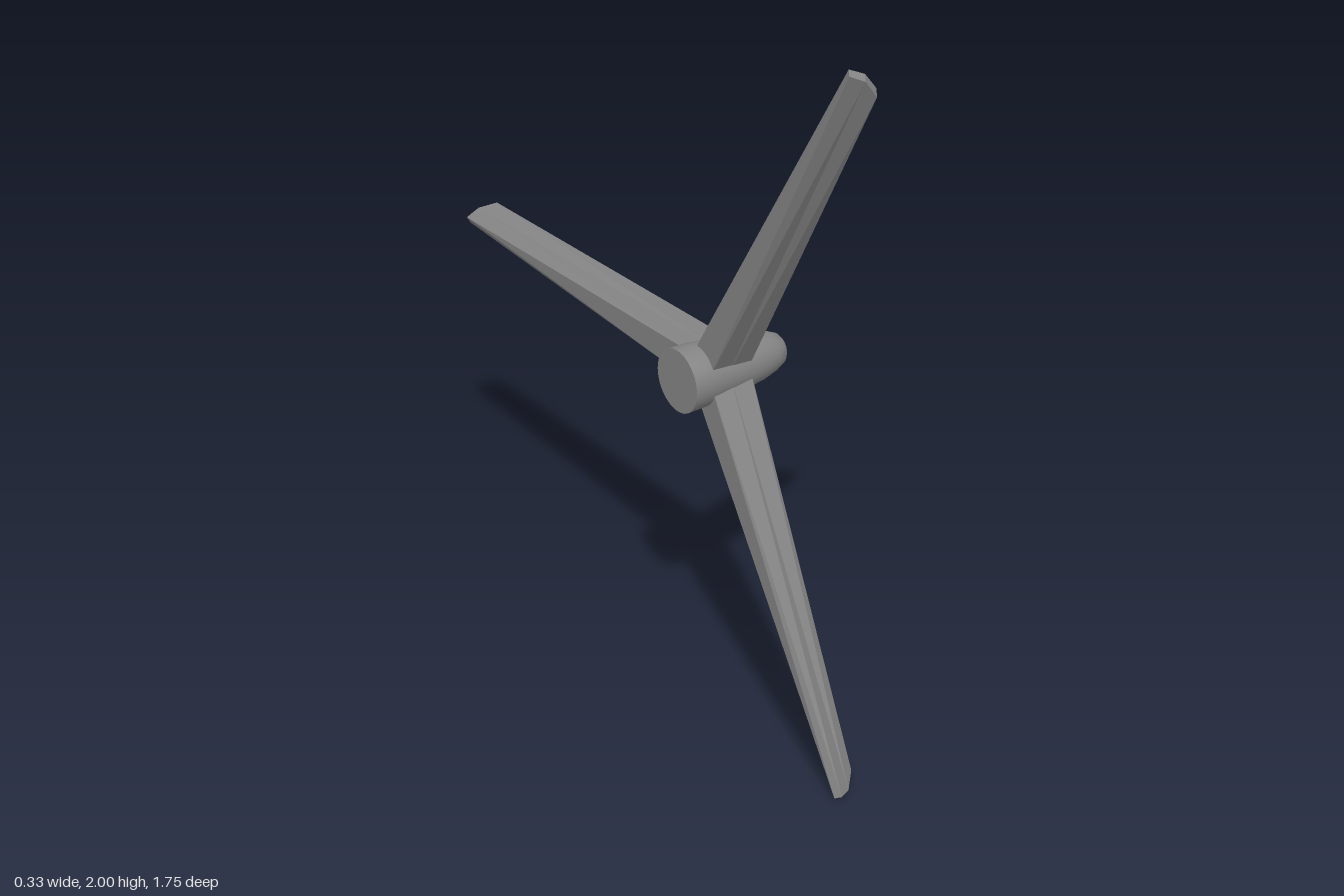
import * as THREE from 'three';
import { toCreasedNormals } from 'three/addons/utils/BufferGeometryUtils.js';

const { lerp } = THREE.MathUtils;
const BLADE_LENGTH = 1.147;
const TWIST = 0.52;

// Tapered blade, ruled straight from an upright root to a twisted tip:
// y is the radius, x the rotor axis, z the direction of turn
function bladeGeometry() {
  const geometry = new THREE.BoxGeometry(2, 1, 2, 2, 1, 1);
  const p = geometry.attributes.position;
  const c = Math.cos(TWIST), s = Math.sin(TWIST);
  for (let i = 0; i < p.count; i++) {
    const u = p.getX(i), v = p.getZ(i), f = p.getY(i) + 0.5;
    const chord = u * 0.042;
    // the trailing edge is a little thinner than the leading edge
    const thick = v * (0.0125 + u * 0.0015);
    // the tip is cut back towards the leading edge
    const cut = u > 0.5 ? 0.047 : u > -0.5 ? 0.006 : 0;
    p.setXYZ(
      i,
      lerp(-0.04 + u * 0.064, -0.044 + chord * c - thick * s, f),
      f * (BLADE_LENGTH - cut),
      lerp(v * 0.042, chord * s + thick * c, f)
    );
  }
  const flat = geometry.toNonIndexed();
  flat.computeVertexNormals();
  return flat;
}

// Hub turned around the rotor axis, with a flat back and a blunt nose
function hubGeometry() {
  const profile = [
    [0, -0.163], [0.087, -0.163], [0.085, -0.1], [0.075, 0.02], [0.067, 0.08],
    [0.055, 0.125], [0.043, 0.152], [0.034, 0.16], [0, 0.163],
  ].map(([r, y]) => new THREE.Vector2(r, y));
  const geometry = new THREE.LatheGeometry(profile, 32);
  geometry.rotateZ(-Math.PI / 2);
  return toCreasedNormals(geometry, 0.7);
}

export function createModel() {
  const model = new THREE.Group();
  model.name = 'turbineRotor';
  const smooth = new THREE.MeshStandardMaterial({ color: 0x848484 });
  const faceted = new THREE.MeshStandardMaterial({ color: 0x848484, flatShading: true });

  const hub = new THREE.Mesh(hubGeometry(), smooth);
  hub.name = 'hub';
  hub.position.set(0, 0.981, 0.267);
  model.add(hub);

  // Three equal blades around the axis
  const geometry = bladeGeometry();
  ['rearBlade', 'upperBlade', 'lowerBlade'].forEach((name, i) => {
    const blade = new THREE.Mesh(geometry, faceted);
    blade.name = name;
    blade.position.set(0, 0.994, 0.275);
    blade.rotation.x = -Math.PI / 2 + (i * Math.PI * 2) / 3;
    model.add(blade);
  });
  return model;
}
